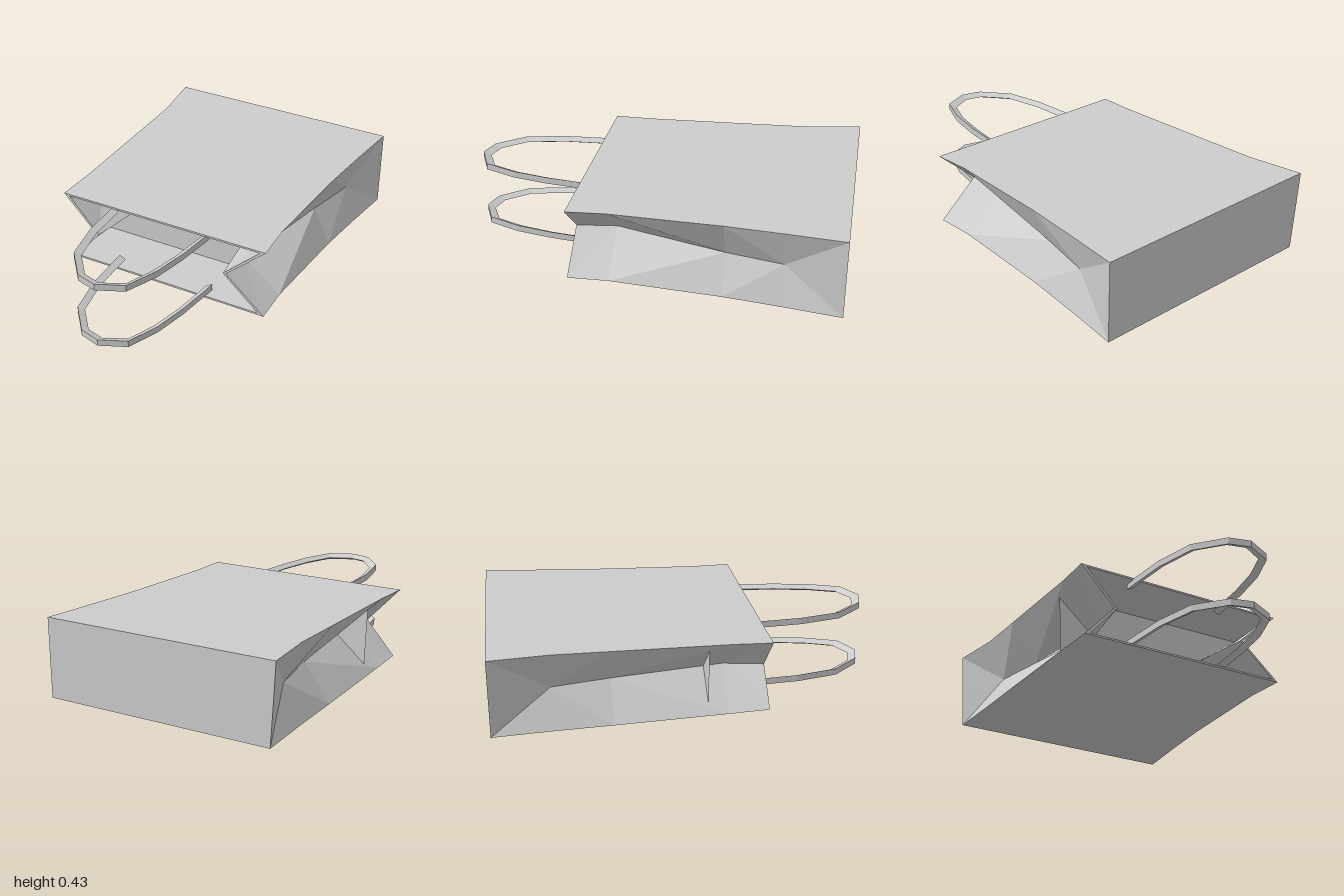
import * as THREE from 'three';

const paper = new THREE.MeshStandardMaterial({ color: 0xcccccc });
paper.name = 'grey paper';

// Cross-sections from the base (back) to the mouth (front):
// z, top [left x, right x, left y, right y], bottom [same], side folds [left x, right x]
const SECTIONS = [
  [-1.0, [-0.65, 0.65, 0.43, 0.42], [-0.62, 0.65, 0.013, 0.0], [-0.635, 0.65]],
  [-0.7, [-0.608, 0.62, 0.424, 0.417], [-0.605, 0.62, 0.017, 0.007], [-0.51, 0.56]],
  [-0.4, [-0.6, 0.595, 0.419, 0.414], [-0.595, 0.595, 0.02, 0.013], [-0.45, 0.5]],
  [0.18, [-0.585, 0.572, 0.41, 0.408], [-0.572, 0.572, 0.027, 0.023], [-0.36, 0.34]],
  [0.39, [-0.59, 0.585, 0.407, 0.405], [-0.562, 0.585, 0.03, 0.026], [-0.4, 0.37]],
];
const MOUTH = SECTIONS[SECTIONS.length - 1];
// Inner floor of the opening
const FLOOR = [0.08, [-0.585, 0.573, 0.388, 0.387], [-0.57, 0.573, 0.034, 0.032], [-0.355, 0.33]];

// Six corners of one section; the inner skin is inset by the paper thickness
function ring([z, t, b, fold], inner) {
  const dx = inner ? 0.032 : 0, dy = inner ? 0.01 : 0, df = inner ? 0.017 : 0;
  return [
    [t[0] + dx, t[2] - dy], [t[1] - dx, t[3] - dy], [fold[1] - df, 0.213],
    [b[1] - dx, b[3] + dy], [b[0] + dx, b[2] + dy], [fold[0] + df, 0.21],
  ].map(([x, y]) => [x, y, z]);
}

// Flat-faced skin through equal rings, closed at both ends
function loft(rings) {
  const pos = [];
  const tri = (a, b, c) => pos.push(...a, ...b, ...c);
  const n = rings[0].length;
  for (let i = 0; i < rings.length - 1; i++) {
    for (let j = 0; j < n; j++) {
      const k = (j + 1) % n;
      const a = rings[i][j], b = rings[i][k], c = rings[i + 1][k], d = rings[i + 1][j];
      // mirrored diagonals make the side creases fan out from the first fold
      if ((j === 1 || j === 4) === (i === 0)) { tri(a, d, c); tri(a, c, b); }
      else { tri(a, d, b); tri(d, c, b); }
    }
  }
  const first = rings[0], last = rings[rings.length - 1];
  for (let j = 1; j < n - 1; j++) {
    tri(first[0], first[j], first[j + 1]);
    tri(last[0], last[j + 1], last[j]);
  }
  const g = new THREE.BufferGeometry();
  g.setAttribute('position', new THREE.Float32BufferAttribute(pos, 3));
  g.computeVertexNormals();
  return g;
}

// Angular loop in x/z with a wedge section: upright outside, thin inner edge
function handleGeometry() {
  const h = 0.035;
  const outer = [[-0.297, 0.33], [-0.295, 0.385], [-0.28, 0.61], [-0.232, 0.825], [-0.11, 0.97],
    [0, 1.0], [0.135, 0.937], [0.2, 0.77], [0.236, 0.58], [0.257, 0.385], [0.262, 0.33]];
  const inner = [[-0.262, 0.33], [-0.26, 0.385], [-0.246, 0.605], [-0.2, 0.808], [-0.095, 0.932],
    [0, 0.957], [0.112, 0.9], [0.167, 0.755], [0.203, 0.575], [0.224, 0.385], [0.228, 0.33]];
  return loft(outer.map(([x, z], i) => [
    [x, h, z], [inner[i][0], h / 2, inner[i][1]], [x, 0, z],
  ]));
}

export function createModel() {
  const model = new THREE.Group();
  model.name = 'paperBag';

  // Outer skin, rim and inner skin as one continuous folded strip
  const bag = new THREE.Mesh(
    loft([...SECTIONS.map((s) => ring(s, false)), ring(MOUTH, true), ring(FLOOR, true)]), paper);
  bag.name = 'bagBody';
  model.add(bag);

  // One handle on each inner face of the mouth
  const handle = handleGeometry();
  for (const [name, y] of [['upperHandle', 0.366], ['lowerHandle', 0.041]]) {
    const mesh = new THREE.Mesh(handle, paper);
    mesh.name = name;
    mesh.position.y = y;
    model.add(mesh);
  }
  return model;
}
